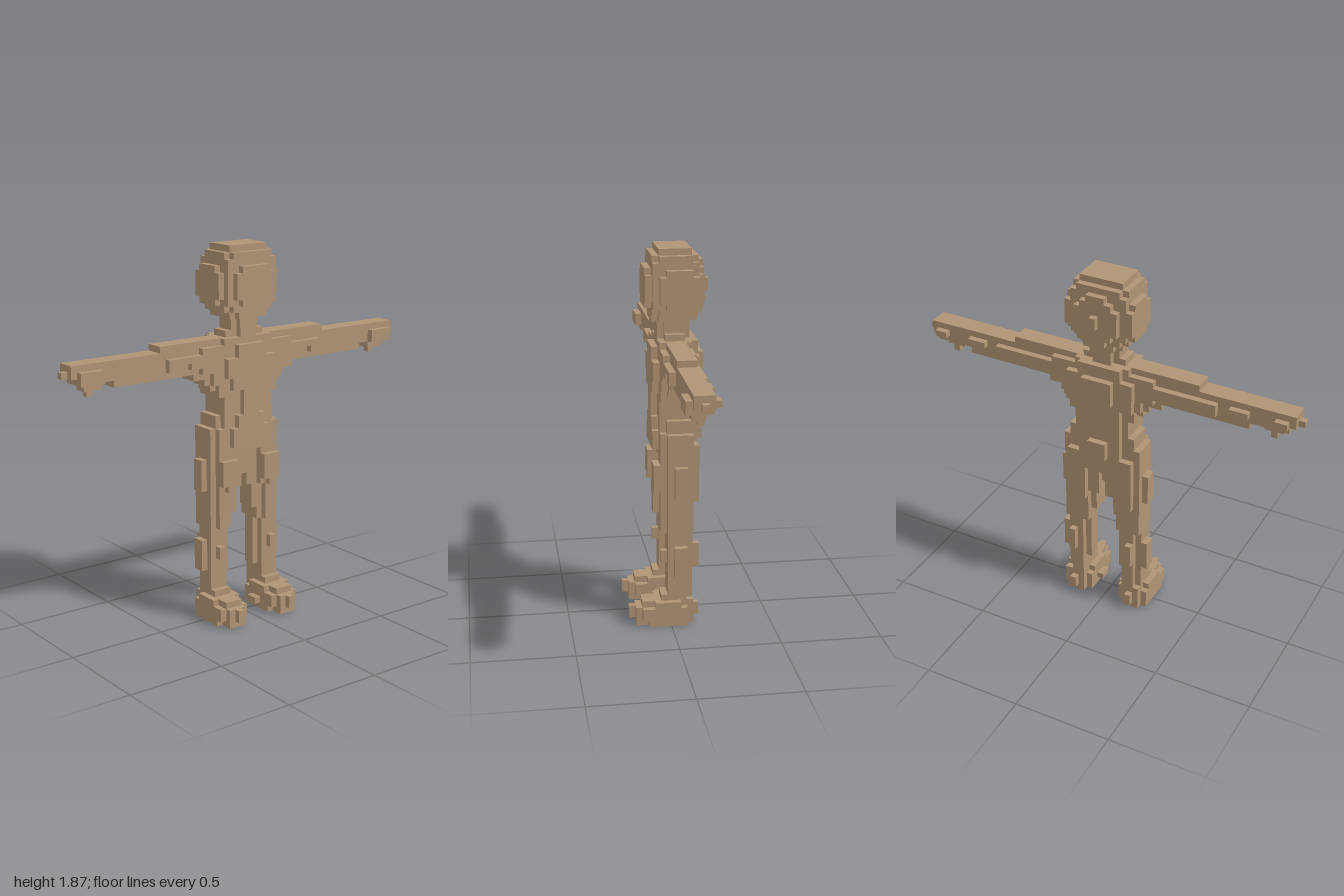
import * as THREE from 'three';
import { mergeGeometries } from 'three/addons/utils/BufferGeometryUtils.js';

const V = 2 / 63; // edge of one cube; all sizes below are counted in cubes

// A box from its edges: x range, y range, z range
function box(x0, x1, y0, y1, z0, z1) {
  const g = new THREE.BoxGeometry((x1 - x0) * V, (y1 - y0) * V, (z1 - z0) * V);
  g.translate((x0 + x1) / 2 * V, (y0 + y1) / 2 * V, (z0 + z1) / 2 * V);
  return g;
}

// A box centred on x: half width, y range, z range
const mid = (w, y0, y1, z0, z1) => [-w, w, y0, y1, z0, z1];

export function createModel() {
  const model = new THREE.Group();
  const skin = new THREE.MeshStandardMaterial({ color: 0xb09474 });
  skin.name = 'skin';

  const add = (name, boxes) => {
    const mesh = new THREE.Mesh(mergeGeometries(boxes.map((b) => box(...b))), skin);
    mesh.name = name;
    model.add(mesh);
  };
  const addPair = (name, boxes) => {
    add('left' + name, boxes);
    add('right' + name, boxes.map(([x0, x1, ...r]) => [-x1, -x0, ...r]));
  };

  // Head: stepped ball with a face plate and a small knob behind
  add('head', [
    mid(3.5, 48, 59, -3.5, 1.5),
    mid(4.5, 49, 58, -3.5, 1.5),
    mid(5.5, 50, 56, -3.5, 0.5),
    mid(5.5, 51, 55, -4.5, 1.5),
    mid(4.5, 50, 57, -4.5, 2.5),
    mid(3.5, 49, 58, -4.5, 2.5),
    mid(2.5, 48, 49, -4.5, 2.5),
    mid(2.5, 50, 56, -5.5, 3.5),
    mid(3.5, 51, 55, -5.5, 3.5),
    mid(1.5, 49, 57, -5.5, 2.5),
    mid(0.5, 52, 54, -6.5, -5.5),
  ]);

  add('neck', [
    mid(1.5, 45, 48, -3.5, 1.5),
    mid(2.5, 45, 48, -2.5, 0.5),
    mid(3.5, 45, 46, -2.5, 0.5),
  ]);

  // Torso: core, front plate, back plate and two raised back pads
  add('torso', [
    mid(4.5, 31, 45, -3.5, 1.5),
    mid(5.5, 36, 44, -3.5, 1.5),
    mid(6.5, 38, 44, -3.5, 1.5),
    mid(8.5, 40, 44, -3.5, 1.5),
    mid(5.5, 31, 33, -3.5, 0.5),
    mid(3.5, 29, 45, -4.5, -3.5),
    mid(5.5, 38, 43, -4.5, -3.5),
    mid(2.5, 39, 43, -5.5, -4.5),
    mid(1.5, 29, 32, -5.5, -4.5),
  ]);
  add('chestPlate', [
    mid(2.5, 42, 44, 1.5, 2.5),
    mid(4.5, 39, 42, 1.5, 2.5),
    mid(3.5, 37, 39, 1.5, 2.5),
    mid(1.5, 33, 37, 1.5, 2.5),
    mid(2.5, 31, 33, 1.5, 2.5),
    mid(3.5, 28, 31, 1.5, 2.5),
  ]);
  add('pelvis', [
    mid(5.5, 27, 31, -3.5, 1.5),
    mid(6.5, 27, 31, -3.5, 0.5),
    mid(1.5, 23, 27, -2.5, 0.5),
    mid(2.5, 26, 29, -4.5, -3.5),
  ]);

  // Arms: straight out, stepped at the armpit
  addPair('Arm', [
    [4.5, 6.5, 37, 44, -2.5, 0.5],
    [4.5, 7.5, 38, 44, -2.5, 0.5],
    [4.5, 9.5, 39, 44, -2.5, 0.5],
    [4.5, 23.5, 40, 44, -2.5, 0.5],
    [23.5, 25.5, 41, 44, -2.5, 0.5],
    [3.5, 15.5, 44, 45, -2.5, 0.5],
    [8.5, 18.5, 41, 43, -3.5, -2.5],
    [20.5, 23.5, 42, 43, -3.5, -2.5],
    [8.5, 10.5, 41, 43, 0.5, 1.5],
    [10.5, 12.5, 42, 43, 0.5, 1.5],
    [12.5, 14.5, 41, 43, 0.5, 1.5],
  ]);
  addPair('Hand', [
    [25.5, 30.5, 42, 44, -2.5, 0.5],
    [25.5, 29.5, 41, 42, -2.5, 0.5],
    [25.5, 28.5, 40, 41, -1.5, 0.5],
    [26.5, 27.5, 39, 40, -1.5, -0.5],
    [30.5, 31.5, 42, 43, -1.5, -0.5],
    [27.5, 29.5, 42, 43, -3.5, -2.5],
    [25.5, 29.5, 41, 43, 0.5, 1.5],
  ]);

  // Legs: core columns with raised pads on every side
  addPair('Thigh', [
    [0.5, 5.5, 21, 27, -3.5, 0.5],
    [1.5, 5.5, 17, 21, -2.5, 0.5],
    [2.5, 5.5, 15, 21, -3.5, 0.5],
    [5.5, 6.5, 15, 27, -3.5, 0.5],
    [2.5, 5.5, 21, 27, 0.5, 1.5],
    [3.5, 5.5, 15, 21, 0.5, 1.5],
    [2.5, 5.5, 22, 26, 1.5, 2.5],
    [3.5, 4.5, 21, 22, 1.5, 2.5],
    [6.5, 7.5, 21, 26, -2.5, -0.5],
    [2.5, 5.5, 20, 29, -4.5, -3.5],
  ]);
  addPair('Shin', [
    [3.5, 5.5, 4, 15, -3.5, 0.5],
    [5.5, 6.5, 4, 15, -2.5, 0.5],
    [2.5, 3.5, 7, 15, -2.5, -0.5],
    [4.5, 5.5, 10, 12, 0.5, 1.5],
    [6.5, 7.5, 8, 13, -2.5, -0.5],
    [4.5, 5.5, 9, 13, -4.5, -3.5],
  ]);

  // Feet: stepped toward a pointed toe
  addPair('Foot', [
    [2.5, 7.5, 0, 3, -2.5, 3.5],
    [2.5, 7.5, 3, 4, -1.5, 2.5],
    [3.5, 6.5, 0, 4, -3.5, 4.5],
    [3.5, 6.5, 4, 5, -2.5, 1.5],
    [2.5, 7.5, 1, 3, 3.5, 4.5],
    [3.5, 6.5, 0, 3, 4.5, 5.5],
    [4.5, 5.5, 1, 3, 5.5, 6.5],
    [4.5, 5.5, 1, 3, -4.5, -3.5],
    [1.5, 2.5, 1, 2, -0.5, 1.5],
  ]);

  return model;
}
